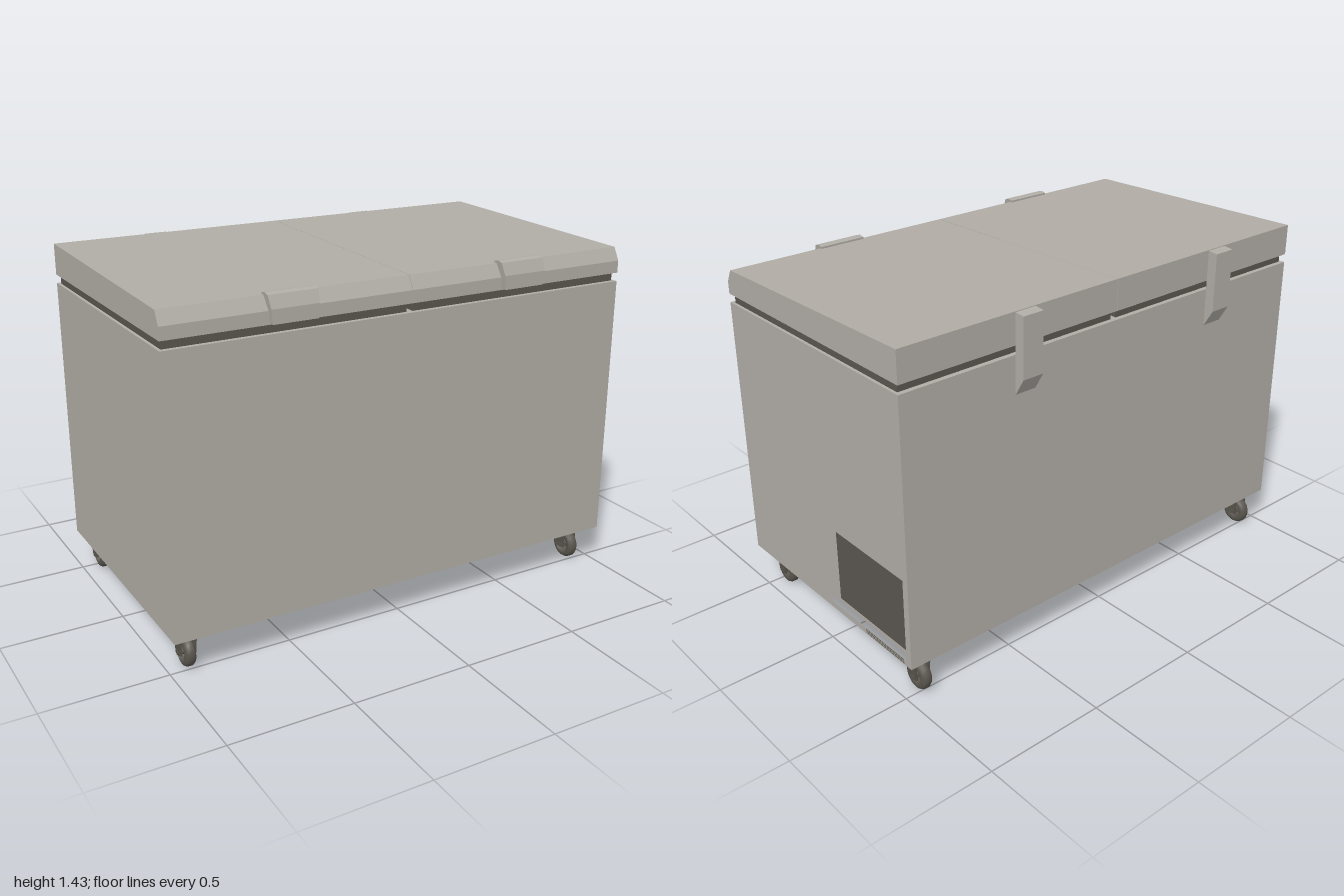
import * as THREE from 'three';

const shell = new THREE.MeshStandardMaterial({ color: 0xb0aca5 });
shell.name = 'warm grey shell';
const dark = new THREE.MeshStandardMaterial({ color: 0x5a564f });
dark.name = 'dark rubber and metal';

function add(parent, name, geometry, material, x = 0, y = 0, z = 0) {
  const mesh = new THREE.Mesh(geometry, material);
  mesh.name = name;
  mesh.position.set(x, y, z);
  parent.add(mesh);
  return mesh;
}

// Box given by its limits on each axis
function block(parent, name, material, [x0, x1], [y0, y1], [z0, z1]) {
  return add(parent, name, new THREE.BoxGeometry(x1 - x0, y1 - y0, z1 - z0), material,
    (x0 + x1) / 2, (y0 + y1) / 2, (z0 + z1) / 2);
}

const outline = (points) => points.map(([z, y]) => new THREE.Vector2(-z, y));

// Side profile of [z, y] points swept from x0 to x1, with optional holes
function sweep(points, x0, x1, holes = []) {
  const shape = new THREE.Shape(outline(points));
  holes.forEach((h) => shape.holes.push(new THREE.Path(outline(h))));
  const g = new THREE.ExtrudeGeometry(shape, { depth: x1 - x0, bevelEnabled: false });
  return g.rotateY(Math.PI / 2).translate(x0, 0, 0);
}

const rect = (z0, z1, y0, y1) => [[z0, y0], [z1, y0], [z1, y1], [z0, y1]];

// Caster: annular wheel, hub, two fork plates and a mounting bridge
function caster(x, z) {
  const g = new THREE.Group();
  g.name = 'caster';
  g.position.set(x, 0, z);
  const tyre = [[0.034, -0.02], [0.044, -0.022], [0.055, -0.018], [0.061, -0.009], [0.061, 0.009],
    [0.055, 0.018], [0.044, 0.022], [0.034, 0.02], [0.034, -0.02]];
  const lathe = new THREE.LatheGeometry(tyre.map(([r, h]) => new THREE.Vector2(r, h)), 24);
  add(g, 'tyre', lathe.rotateZ(Math.PI / 2), dark, 0, 0.066, 0);
  block(g, 'wheelSpoke', dark, [-0.012, 0.012], [0.057, 0.075], [-0.036, 0.036]);
  const axle = new THREE.CylinderGeometry(0.011, 0.011, 0.072, 12).rotateZ(Math.PI / 2);
  add(g, 'axle', axle, dark, 0, 0.066, 0);
  for (const s of [-1, 1]) {
    const fork = new THREE.BoxGeometry(0.011, 0.108, 0.04);
    const p = fork.attributes.position;
    // Forks splay slightly toward the bridge
    for (let i = 0; i < p.count; i++) if (p.getY(i) > 0) p.setX(i, p.getX(i) + s * 0.007);
    fork.computeVertexNormals();
    add(g, 'forkPlate', fork, dark, s * 0.028, 0.111, 0);
  }
  block(g, 'forkBridge', dark, [-0.04, 0.04], [0.153, 0.167], [-0.025, 0.025]);
  return g;
}

export function createModel() {
  const model = new THREE.Group();
  model.name = 'chestFreezer';

  // Cabinet with a recessed service panel on its left side
  block(model, 'cabinet', shell, [-1, 0.96], [0.165, 1.275], [-0.545, 0.565]);
  add(model, 'cabinetSide', sweep(rect(-0.545, 0.565, 0.165, 1.275), 0.96, 1,
    [rect(-0.515, -0.03, 0.192, 0.54)]), shell);
  block(model, 'recessedGrille', dark, [0.958, 0.966], [0.192, 0.54], [-0.515, -0.03]);

  // Fine vent slits below the grille
  for (let i = 0; i < 3; i++) {
    const y = 0.17 + i * 0.007;
    block(model, 'ventSlit', dark, [0.997, 1.0005], [y, y + 0.003], [-0.5, -0.255]);
  }

  // Two lids, each with its seal, handle and hinge
  const lidProfile = [[-0.545, 1.31], [0.565, 1.31], [0.565, 1.36], [0.537, 1.412], [-0.545, 1.437]];
  const handleProfile = [[0.55, 1.315], [0.59, 1.315], [0.59, 1.37], [0.57, 1.418], [0.55, 1.424], [0.525, 1.42], [0.525, 1.4]];
  const hingeProfile = [[-0.545, 1.12], [-0.545, 1.434], [-0.587, 1.43], [-0.587, 1.19]];
  for (const s of [-1, 1]) {
    const span = (a, b) => (s > 0 ? [a, b] : [-b, -a]);
    add(model, 'lid', sweep(lidProfile, ...span(0.001, 1)), shell);
    block(model, 'lidSeal', dark, span(0.014, 0.988), [1.275, 1.31], [-0.525, 0.545]);

    // Handle narrows toward its lower edge
    const handle = sweep(handleProfile, -0.1, 0.1);
    const p = handle.attributes.position;
    for (let i = 0; i < p.count; i++) {
      p.setX(i, p.getX(i) * (0.9 + 0.1 * (p.getY(i) - 1.315) / 0.105));
    }
    handle.computeVertexNormals();
    add(model, 'handle', handle, shell, s * 0.5);

    const hingeX = s > 0 ? 0.405 : -0.595;
    add(model, 'hinge', sweep(hingeProfile, hingeX, hingeX + 0.093), shell);

    for (const z of [0.462, -0.475]) model.add(caster(s * 0.917, z));
  }
  return model;
}
